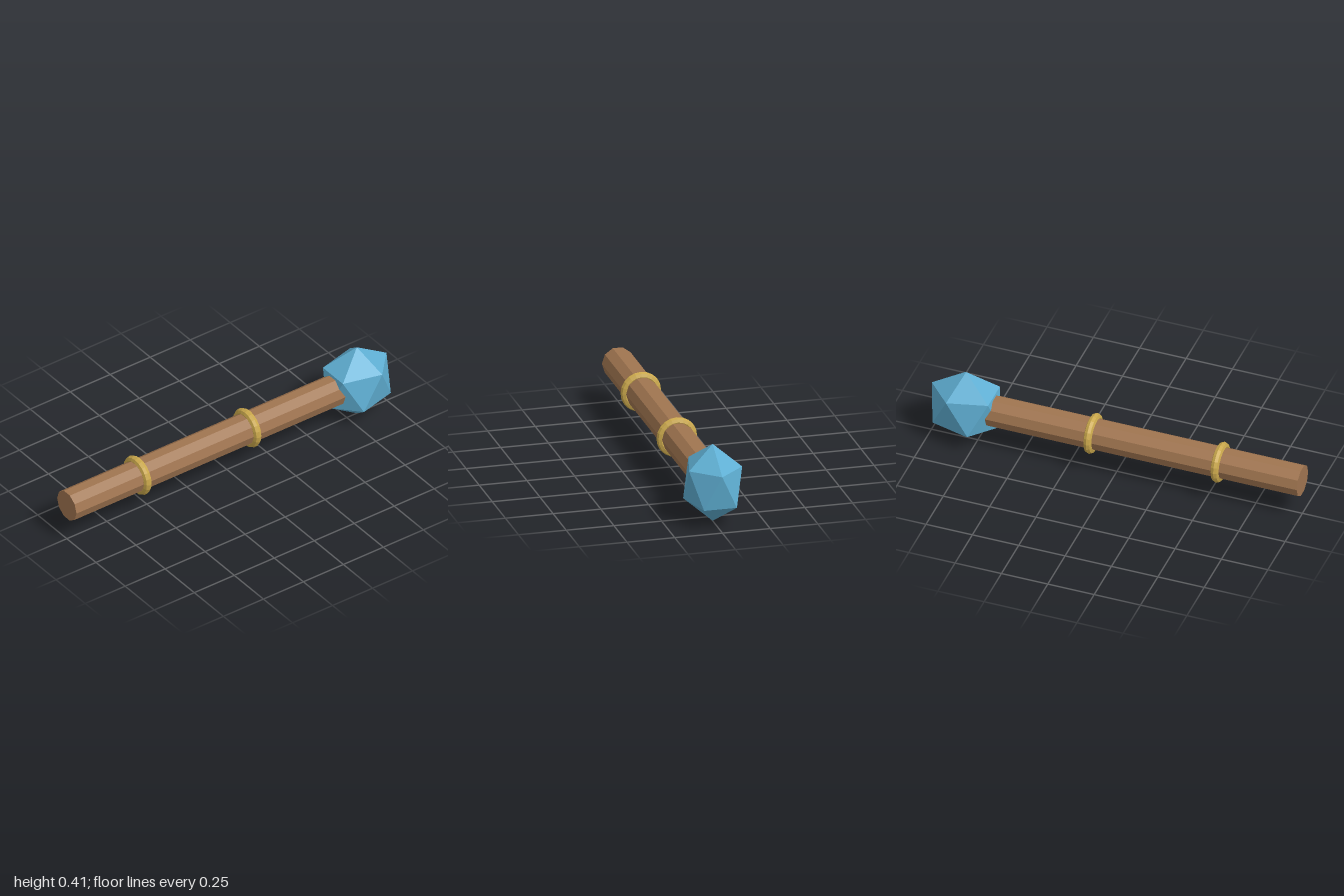
import * as THREE from 'three';

const AXIS_Y = 0.21; // height of the shaft's centre line

function material(name, color) {
  const m = new THREE.MeshStandardMaterial({ color, flatShading: true });
  m.name = name;
  return m;
}

export function createModel() {
  const group = new THREE.Group();
  group.name = 'hammerStaff';
  const wood = material('brown wood', 0xa07550);
  const gold = material('gold', 0xcaa84c);
  const crystal = material('blue crystal', 0x5fafd3);

  function add(name, geometry, mat, x) {
    const mesh = new THREE.Mesh(geometry, mat);
    mesh.name = name;
    mesh.position.set(x, AXIS_Y, 0);
    group.add(mesh);
  }

  // Ten-sided shaft lying along x, its inner end buried in the crystal
  const start = -1, end = 0.73;
  const shaft = new THREE.CylinderGeometry(0.083, 0.083, end - start, 10);
  shaft.rotateZ(-Math.PI / 2);
  add('shaft', shaft, wood, (start + end) / 2);

  // Two bands around the shaft
  const band = new THREE.TorusGeometry(0.085, 0.0215, 8, 20);
  band.rotateY(Math.PI / 2);
  add('outerBand', band, gold, -0.558);
  add('innerBand', band, gold, 0.128);

  // Crystal head: icosahedron with a corner straight up, narrowed in z
  const head = new THREE.IcosahedronGeometry(0.207, 0);
  head.rotateZ(-Math.atan(2 / (1 + Math.sqrt(5))));
  head.scale(1, 1, 0.79);
  add('crystalHead', head, crystal, 0.813);

  return group;
}
